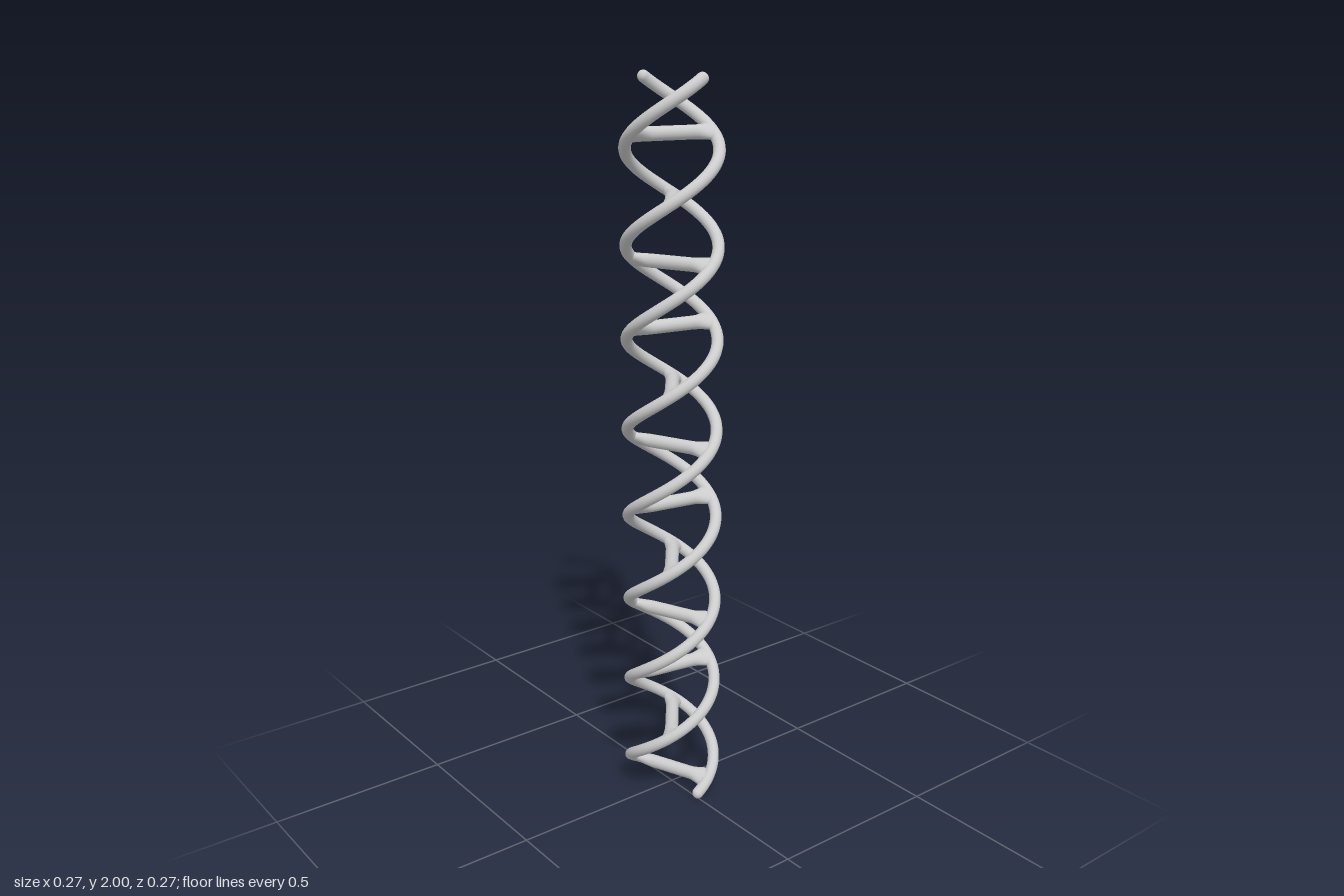
import * as THREE from 'three';
import { mergeVertices } from 'three/addons/utils/BufferGeometryUtils.js';

const RADIUS = 0.12, TUBE = 0.016, TURNS = 4;
const TOP = 1.984, BOTTOM = 0.016;
const PITCH = (TOP - BOTTOM) / TURNS;

// Right-handed helix, running down from the top
class Helix extends THREE.Curve {
  constructor(phase) {
    super();
    this.phase = phase;
  }
  getPoint(t, target = new THREE.Vector3()) {
    const a = this.phase + t * TURNS * Math.PI * 2;
    return target.set(RADIUS * Math.cos(a), TOP + (BOTTOM - TOP) * t, RADIUS * Math.sin(a));
  }
}

// Bar along x whose ends flare out along the direction of the strands
function rungGeometry() {
  const half = RADIUS - 0.002, r = 0.0185;
  let g = new THREE.CylinderGeometry(r, r, half * 2, 18, 32, true).rotateZ(-Math.PI / 2);
  const p = g.attributes.position;
  const slope = Math.atan2(PITCH / (Math.PI * 2), RADIUS);
  for (let i = 0; i < p.count; i++) {
    const x = p.getX(i), y = p.getY(i), z = p.getZ(i);
    const side = Math.sign(x) || 1;
    const k = THREE.MathUtils.smoothstep(Math.abs(x), 0.06, half);
    const dz = side * Math.cos(slope), dy = -Math.sin(slope);
    const along = (z * dz + y * dy) * (1 + 0.65 * k);
    const across = (y * dz - z * dy) * (1 - 0.2 * k);
    p.setY(i, along * dy + across * dz);
    p.setZ(i, along * dz - across * dy);
  }
  g.deleteAttribute('uv');
  g.deleteAttribute('normal');
  g = mergeVertices(g, 1e-5);
  g.computeVertexNormals();
  return g;
}

export function createModel() {
  const model = new THREE.Group();
  model.name = 'doubleHelix';
  const material = new THREE.MeshStandardMaterial({ color: 0xcccccc });

  function add(parent, name, geometry) {
    const mesh = new THREE.Mesh(geometry, material);
    mesh.name = name;
    parent.add(mesh);
    return mesh;
  }

  // Two strands with rounded ends
  const cap = new THREE.SphereGeometry(TUBE, 16, 12);
  [0, Math.PI].forEach((phase, i) => {
    const strand = new THREE.Group();
    strand.name = i ? 'rightStrand' : 'leftStrand';
    model.add(strand);
    const helix = new Helix(phase);
    add(strand, 'strandTube', new THREE.TubeGeometry(helix, 320, TUBE, 16));
    add(strand, 'topEnd', cap).position.copy(helix.getPoint(0));
    add(strand, 'bottomEnd', cap).position.copy(helix.getPoint(1));
  });

  // Twelve rungs, three per turn
  const rung = rungGeometry();
  for (let i = 0; i < 12; i++) {
    const y = 1.849 - i * PITCH / 3;
    const mesh = add(model, 'rung', rung);
    mesh.position.y = y;
    mesh.rotation.y = -(TOP - y) / PITCH * Math.PI * 2;
  }
  return model;
}
